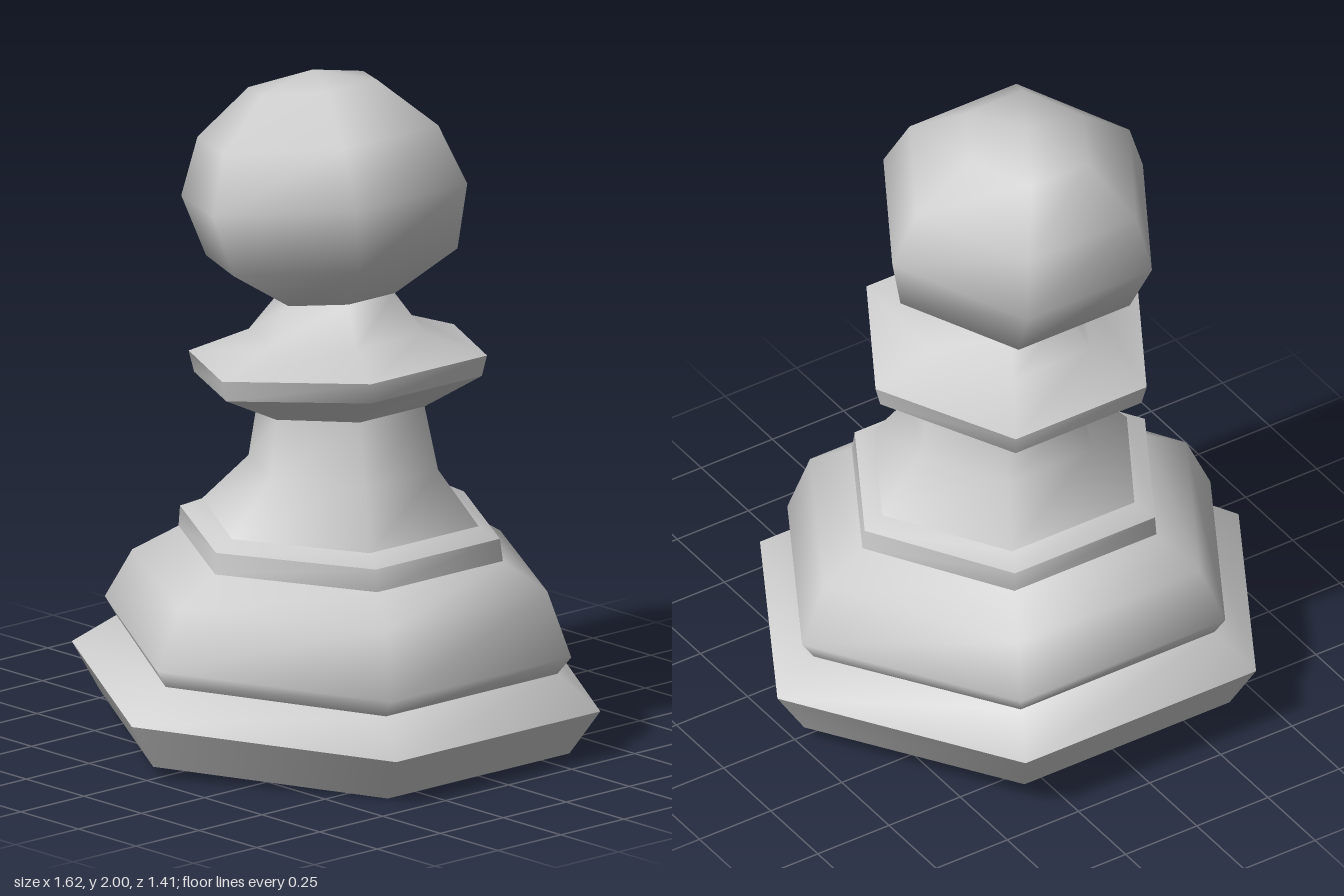
import * as THREE from 'three';
import { mergeVertices } from 'three/addons/utils/BufferGeometryUtils.js';

const SIDES = 6;

// Each ring: [half width in x, front z, front y, back z, back y]; the rings tilt so the body bends.
const bottomCentre = [0, 0, 0.035, 0, 0.035];
const baseLow = [0.72, 0.62, 0, -0.63, 0.07];
const baseRim = [0.81, 0.705, 0.137, -0.703, 0.212];
const groove = [0.68, 0.59, 0.24, -0.58, 0.305];
const bellWide = [0.717, 0.63, 0.295, -0.61, 0.36];
const bellUpper = [0.637, 0.57, 0.49, -0.535, 0.51];
const bandLow = [0.498, 0.453, 0.572, -0.41, 0.595];
const bandTop = [0.492, 0.443, 0.638, -0.407, 0.656];
const stemFoot = [0.43, 0.385, 0.67, -0.345, 0.685];
const stemMid = [0.29, 0.285, 0.835, -0.22, 0.83];
const stemTop = [0.257, 0.245, 1.022, -0.20, 0.995];
const collarLow = [0.443, 0.392, 1.128, -0.373, 1.066];
const collarHigh = [0.46, 0.405, 1.191, -0.387, 1.129];
const collarNeck = [0.27, 0.24, 1.245, -0.23, 1.21];
const throat = [0.185, 0.155, 1.355, -0.16, 1.315];
const headLow = [0.39, 0.315, 1.505, -0.35, 1.42];
const headWide = [0.44, 0.33, 1.70, -0.43, 1.59];
const headHigh = [0.375, 0.24, 1.865, -0.395, 1.77];
const headCrown = [0.2, 0.07, 1.985, -0.27, 1.93];
const headTip = [0, -0.10, 2, -0.10, 2];

// Skin a stack of tilted hexagons; shading is smooth within one band
function band(rings) {
  const positions = [];
  const indices = [];
  for (const [halfX, frontZ, frontY, backZ, backY] of rings) {
    for (let i = 0; i < SIDES; i++) {
      const a = (i / SIDES) * Math.PI * 2;
      const t = (Math.sin(a) / Math.sin(Math.PI / 3) + 1) / 2;
      positions.push(halfX * Math.cos(a), backY + t * (frontY - backY), backZ + t * (frontZ - backZ));
    }
  }
  for (let r = 0; r < rings.length - 1; r++) {
    for (let i = 0; i < SIDES; i++) {
      const a = r * SIDES + i;
      const b = r * SIDES + ((i + 1) % SIDES);
      const c = b + SIDES;
      const d = a + SIDES;
      // A ring of zero width is a point, so it needs only one triangle per side
      if (rings[r][0] > 0) indices.push(b, a, d);
      if (rings[r + 1][0] > 0) indices.push(b, d, c);
    }
  }
  let geometry = new THREE.BufferGeometry();
  geometry.setAttribute('position', new THREE.Float32BufferAttribute(positions, 3));
  geometry.setIndex(indices);
  geometry = mergeVertices(geometry);
  geometry.computeVertexNormals();
  return geometry;
}

export function createModel() {
  const group = new THREE.Group();
  group.name = 'pawn';
  const stone = new THREE.MeshStandardMaterial({ color: 0xcccccc });
  stone.name = 'light grey';

  // Bands from the bottom up, split wherever the surface has a hard edge
  const parts = {
    underside: [bottomCentre, baseLow],
    baseSide: [baseLow, baseRim],
    baseTop: [baseRim, groove],
    bell: [groove, bellWide, bellUpper, bandLow],
    ledgeSide: [bandLow, bandTop],
    ledgeTop: [bandTop, stemFoot],
    stem: [stemFoot, stemMid, stemTop],
    collarUnderside: [stemTop, collarLow],
    collarEdge: [collarLow, collarHigh],
    collarTop: [collarHigh, collarNeck, throat],
    head: [throat, headLow, headWide, headHigh, headCrown, headTip],
  };
  for (const [name, rings] of Object.entries(parts)) {
    const mesh = new THREE.Mesh(band(rings), stone);
    mesh.name = name;
    group.add(mesh);
  }
  return group;
}
